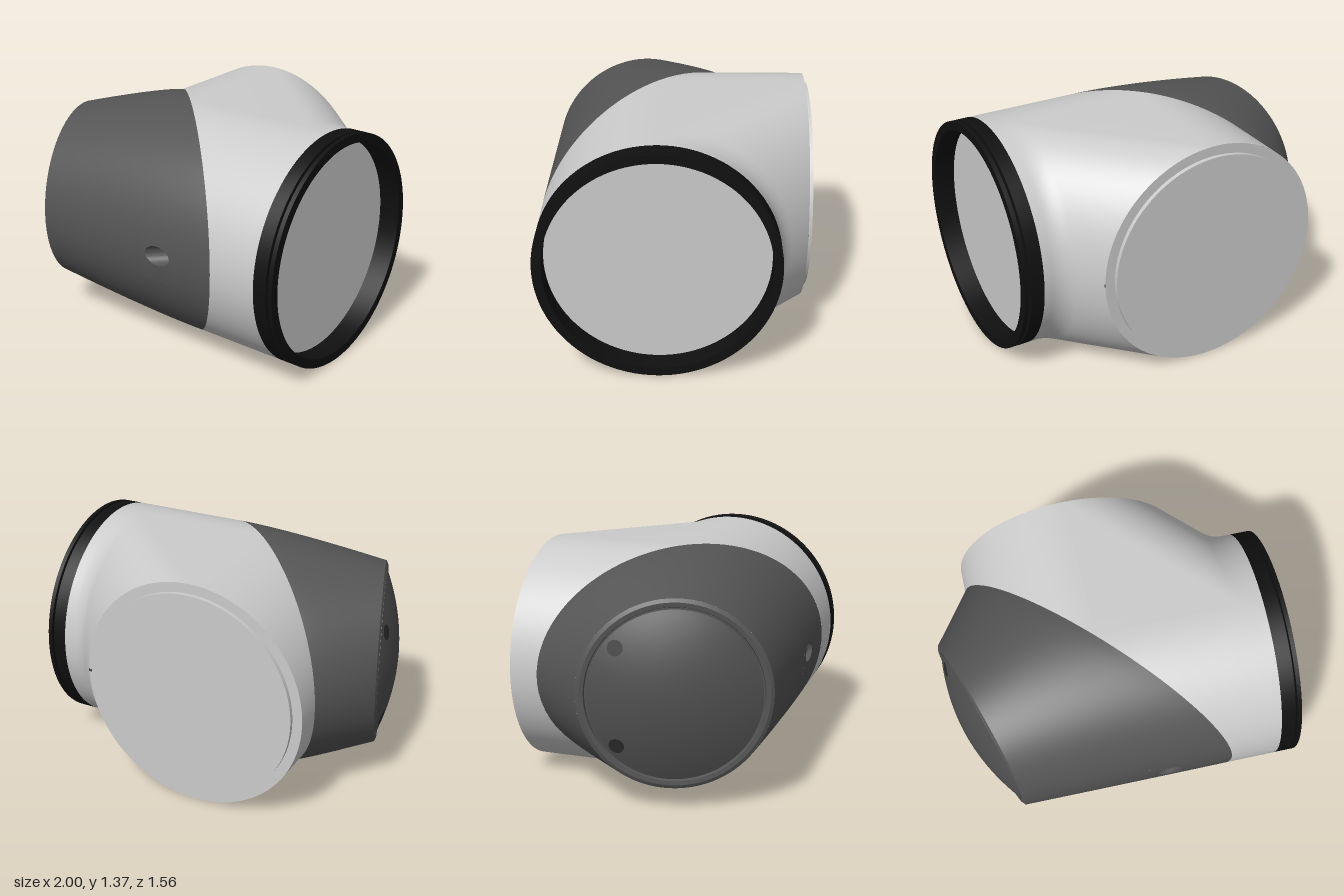
import * as THREE from 'three';
import { mergeGeometries, toCreasedNormals } from 'three/addons/utils/BufferGeometryUtils.js';

const R = 0.683;              // radius of both tubes
const CX = -0.09, CZ = 0.095; // where the two tube axes cross
const BACK = -0.755, COLLAR = 0.88;
const END = new THREE.Vector3(-0.827, R, 0.26);    // centre of the tilted end
const END_R = 0.546;
const END_N = new THREE.Vector3(-0.95, 0, 0.312).normalize();
const lerp = THREE.MathUtils.lerp;
const V = (x, y, z) => new THREE.Vector3(x, y, z);

// Grid surface from f(u, v); faces look along du x dv. skip(i, j) leaves cells open.
function loft(f, nu, nv, skip = () => false) {
  const pos = [], idx = [];
  for (let i = 0; i <= nu; i++)
    for (let j = 0; j <= nv; j++) pos.push(...f(i / nu, j / nv).toArray());
  for (let i = 0; i < nu; i++)
    for (let j = 0; j < nv; j++) {
      if (skip(i, j)) continue;
      const a = i * (nv + 1) + j, b = a + nv + 1;
      idx.push(a, b, b + 1, a, b + 1, a + 1);
    }
  const g = new THREE.BufferGeometry();
  g.setAttribute('position', new THREE.Float32BufferAttribute(pos, 3));
  g.setIndex(idx);
  return g;
}

function part(group, name, geometry, color = 0xcccccc) {
  const m = new THREE.Mesh(geometry, new THREE.MeshStandardMaterial({ color }));
  m.name = name;
  group.add(m);
  return m;
}

const lathe = (pts) => toCreasedNormals(
  new THREE.LatheGeometry(pts.map(([r, h]) => new THREE.Vector2(r, h)), 96), 0.4);

// Inner corner between the tubes: straight beside the collar, a rounded bend,
// then a 45 degree slope down to the back flange
function innerCurve(u, d) {
  const z = CZ - d, bend = 0.76, from = 0.83, to = 0.06;
  if (u < 0.1) return [lerp(COLLAR, from, u / 0.1), z];
  if (u > 0.7) {
    const t = (u - 0.7) / 0.3;
    return [lerp(bend - to, CX + d, t), lerp(z - to, BACK, t)];
  }
  const t = (u - 0.1) / 0.6, s = 1 - t;
  return [s * s * from + 2 * s * t * bend + t * t * (bend - to), z - t * t * to];
}

function bodyGeometry() {
  const strip = (f, nu) => loft((u, v) => {
    const a = (v - 0.5) * Math.PI;
    const [x, z] = f(u, R * Math.cos(a));
    return V(x, R + R * Math.sin(a), z);
  }, nu, 64);
  const flat = (y, flip) => loft((u, v) => {
    const [x, z] = innerCurve(flip ? 1 - u : u, 0);
    return V(lerp(CX, x, v), y, lerp(CZ, z, v));
  }, 20, 1);
  return toCreasedNormals(mergeGeometries([
    strip((u, d) => [lerp(CX + d, COLLAR, u), CZ + d], 6),
    strip((u, d) => [CX - d, lerp(BACK, CZ - d, u)], 6),
    strip(innerCurve, 20),
    flat(2 * R, true),
    flat(0, false),
  ]), 0.6);
}

// Dark shell: from the slanted joint ellipse to the smaller tilted circle
function shellPoint(t, v) {
  const a = -2 * Math.PI * (v - 0.5), c = Math.cos(a);
  return V(
    lerp(CX + R * c, END.x + END_R * c * END_N.z, t),
    R + Math.sin(a) * (R - (R - END_R) * t ** 1.35),
    lerp(CZ + R * c, END.z - END_R * c * END_N.x, t));
}

function shellGeometry() {
  const nu = 20, nv = 96;
  const wall = loft(shellPoint, nu, nv, (i, j) => i >= 4 && i < 8 && j >= 44 && j < 52);
  // Slanted bore: floor, wall, then the surface around its rim
  const dir = V(1, 0, -1).normalize(), centre = shellPoint(0.3, 0.5);
  const bore = loft((s, w) => {
    const row = Math.round(s * 5), a = w * 2 * Math.PI;
    const c = Math.cos(a), q = Math.sin(a), m = Math.max(Math.abs(c), Math.abs(q));
    const k = Math.max(0, (row - 2) / 3);
    const p = shellPoint(
      0.3 + lerp(0.07 * c, 0.1 * c / m, k),
      0.5 + lerp(0.014 * q, 4 / nv * q / m, k));
    if (row === 0) return centre.clone().addScaledVector(dir, 0.1);
    if (row === 1) p.addScaledVector(dir, 0.1 - p.clone().sub(centre).dot(dir));
    return p;
  }, 5, 48);
  return toCreasedNormals(mergeGeometries([wall, bore]), 0.6);
}

export function createModel() {
  const g = new THREE.Group();
  g.name = 'elbowJoint';

  part(g, 'body', bodyGeometry());
  part(g, 'shell', shellGeometry(), 0x555555);

  // Stepped flange on the back tube
  const flange = part(g, 'backFlange', lathe([[R, 0], [0.625, 0], [0.625, 0.025], [0, 0.025]]));
  flange.position.set(CX, R, BACK);
  flange.rotation.x = -Math.PI / 2;

  // Grooved black collar and the disc set deep inside it
  const collar = part(g, 'collar', lathe([
    [R, COLLAR], [R, 0.96], [0.645, 0.96], [0.645, 0.975], [R, 0.975],
    [R, 1], [0.63, 1], [0.63, 0.87],
  ]), 0x101010);
  collar.position.set(0, R, CZ);
  collar.rotation.z = -Math.PI / 2;
  const disc = part(g, 'collarDisc', new THREE.CircleGeometry(0.632, 96));
  disc.position.set(0.875, R, CZ);
  disc.rotation.y = Math.PI / 2;

  // Rim and domed cover on the tilted end
  const end = new THREE.Group();
  end.name = 'endCover';
  end.position.copy(END);
  end.quaternion.setFromUnitVectors(V(0, 1, 0), END_N);
  g.add(end);
  part(end, 'endRim', lathe([[END_R, 0], [0.525, 0.01], [0.5, 0.008], [0.494, -0.01], [0.48, -0.01]]), 0x555555);
  const domeR = 0.487, domeRise = 0.1;
  const domeH = (r) => 0.01 + domeRise * (1 - (r / domeR) ** 2);
  const dome = [[domeR, -0.01]];
  for (let i = 0; i <= 12; i++) dome.push([domeR * (1 - i / 12), domeH(domeR * (1 - i / 12))]);
  part(end, 'dome', lathe(dome), 0x505050);

  // Two screw holes near the rear edge of the cover
  const across = V(-END_N.z, 0, END_N.x);
  for (const side of [-1, 1]) {
    const off = across.clone().multiplyScalar(0.32).add(V(0, 0.28 * side, 0));
    const normal = END_N.clone().addScaledVector(off, 2 * domeRise / domeR ** 2).normalize();
    const hole = part(g, 'screwHole', new THREE.CircleGeometry(0.045, 24), 0x2c2c2c);
    hole.position.copy(END).add(off).addScaledVector(END_N, domeH(off.length()) + 0.003);
    hole.quaternion.setFromUnitVectors(V(0, 0, 1), normal);
  }

  // Alignment marks beside the collar and the flange
  part(g, 'collarMark', new THREE.BoxGeometry(0.05, 0.008, 0.008))
    .position.set(0.85, R, CZ + R - 0.003);
  part(g, 'flangeMark', new THREE.BoxGeometry(0.02, 0.016, 0.02), 0x444444)
    .position.set(CX + R - 0.006, R, BACK + 0.01);
  return g;
}
